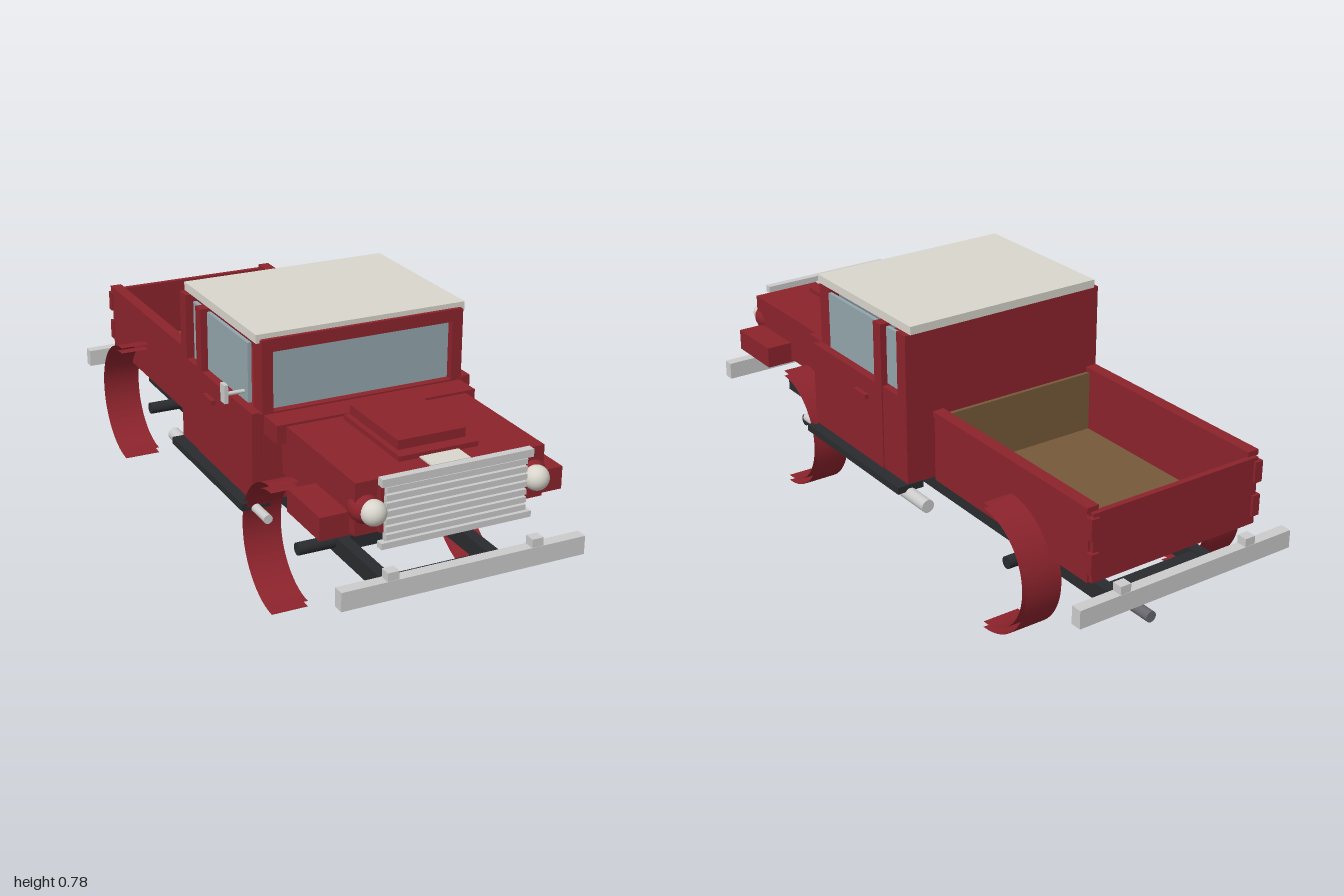
import * as THREE from 'three';

const mat = (color, side = THREE.FrontSide) =>
  new THREE.MeshStandardMaterial({ color, side });
const RED = mat(0x8c232c), RED_THIN = mat(0x8c232c, THREE.DoubleSide), CREAM = mat(0xd8d6cc);
const CHROME = mat(0xc2c2c6), BLACK = mat(0x292b2e), GLASS = mat(0x93a5ac);
const WOOD = mat(0x77593a), IRON = mat(0x68686e);

export function createModel() {
  const model = new THREE.Group();
  model.name = 'pickupTruck';
  const truck = new THREE.Group();
  truck.name = 'truck';
  truck.position.x = 0.011; // the single mirror shifts the body off centre
  model.add(truck);

  const add = (name, geo, material, x = 0, y = 0, z = 0) => {
    const m = new THREE.Mesh(geo, material);
    m.name = name;
    m.position.set(x, y, z);
    truck.add(m);
    return m;
  };
  // box given by its limits on each axis
  const box = (name, material, x0, x1, y0, y1, z0, z1) =>
    add(name, new THREE.BoxGeometry(x1 - x0, y1 - y0, z1 - z0), material,
      (x0 + x1) / 2, (y0 + y1) / 2, (z0 + z1) / 2);
  // box centred on x, and a mirrored pair of boxes
  const mid = (name, material, w, ...r) => box(name, material, -w, w, ...r);
  const pair = (name, material, x0, x1, ...r) => {
    box(name + 'Left', material, x0, x1, ...r);
    box(name + 'Right', material, -x1, -x0, ...r);
  };
  const rodZ = (name, material, r, x, y, z0, z1) => {
    const g = new THREE.CylinderGeometry(r, r, z1 - z0, 20).rotateX(Math.PI / 2);
    return add(name, g, material, x, y, (z0 + z1) / 2);
  };
  const rodX = (name, material, r, x0, x1, y, z) => {
    const g = new THREE.CylinderGeometry(r, r, x1 - x0, 20).rotateZ(Math.PI / 2);
    return add(name, g, material, (x0 + x1) / 2, y, z);
  };

  // ladder frame, axles and exhaust
  pair('frameRail', BLACK, 0.152, 0.188, 0.168, 0.22, -0.885, 0.895);
  for (const z of [-0.86, -0.58, -0.29, 0, 0.29, 0.58, 0.87])
    mid('crossMember', BLACK, 0.153, 0.174, 0.216, z - 0.022, z + 0.022);
  for (const z of [0.58, -0.57]) rodX('axle', BLACK, 0.019, -0.302, 0.302, 0.2, z);
  rodZ('exhaustPipe', IRON, 0.017, 0.131, 0.18, -1, 0.2);

  // bumpers with overriders
  for (const [z0, z1] of [[0.965, 1], [-1, -0.965]]) {
    mid('bumper', CHROME, 0.376, 0.229, 0.285, z0, z1);
    pair('overrider', CHROME, 0.205, 0.24, 0.235, 0.31, z0 + 0.001, z1 - 0.001);
  }

  // side pipes and running boards
  for (const s of [-1, 1]) {
    rodZ('sidePipe', CHROME, 0.021, s * 0.346, 0.246, -0.235, 0.37);
    rodZ('sidePipeTip', CHROME, 0.014, s * 0.346, 0.26, 0.3, 0.485);
  }
  pair('runningBoard', BLACK, 0.3, 0.39, 0.257, 0.279, -0.14, 0.4);

  // thin half-round fender shells behind each wheel centre
  for (const s of [-1, 1])
    for (const [x0, x1, y, z] of [[0.262, 0.376, 0.202, 0.57], [0.27, 0.39, 0.226, -0.583]])
      for (const r of [0.2, 0.182]) {
        const g = new THREE.CylinderGeometry(r, r, x1 - x0, 28, 1, true, Math.PI / 2, Math.PI);
        // turn the axis to x with the arc bulging toward the rear
        g.rotateZ(Math.PI / 2);
        add('fenderShell', g, RED_THIN, s * (x0 + x1) / 2, y, z);
      }

  // cab
  mid('cabBody', RED, 0.336, 0.277, 0.55, -0.137, 0.403);
  pair('door', RED, 0.33, 0.356, 0.28, 0.553, -0.005, 0.4);
  pair('rearQuarter', RED, 0.33, 0.353, 0.28, 0.553, -0.137, -0.007);
  mid('rearWall', RED, 0.336, 0.55, 0.757, -0.137, -0.11);
  pair('rearPillar', RED, 0.316, 0.353, 0.55, 0.757, -0.137, -0.09);
  pair('middlePillar', RED, 0.32, 0.356, 0.55, 0.75, -0.006, 0.034);
  pair('frontPillar', RED, 0.29, 0.324, 0.55, 0.765, 0.342, 0.402);
  mid('windshieldHeader', RED, 0.322, 0.73, 0.768, 0.342, 0.4);
  mid('windshield', GLASS, 0.291, 0.55, 0.732, 0.365, 0.378);
  pair('sideWindow', GLASS, 0.323, 0.335, 0.558, 0.74, -0.073, 0.328);
  mid('roof', CREAM, 0.336, 0.757, 0.783, -0.14, 0.388);
  pair('doorHandle', RED, 0.354, 0.37, 0.485, 0.499, 0.07, 0.137);

  // mirror, on the model's right only
  rodX('mirrorArm', CHROME, 0.006, -0.406, -0.35, 0.6, 0.335);
  box('mirrorPlate', CHROME, -0.418, -0.406, 0.577, 0.633, 0.322, 0.352);

  // hood, cowl and engine
  mid('hood', RED, 0.29, 0.385, 0.538, 0.46, 0.905);
  mid('hoodNose', RED, 0.225, 0.39, 0.53, 0.9, 0.925);
  mid('cowl', RED, 0.32, 0.488, 0.545, 0.4, 0.49);
  mid('hoodStripe', CREAM, 0.06, 0.53, 0.543, 0.48, 0.9);
  mid('scoopBase', RED, 0.122, 0.53, 0.553, 0.51, 0.835);
  mid('scoop', RED, 0.105, 0.55, 0.581, 0.515, 0.795);
  pair('fenderBox', RED, 0.27, 0.376, 0.375, 0.443, 0.675, 0.873);
  mid('engineBlock', IRON, 0.124, 0.3, 0.39, 0.5, 0.82);

  // grille with horizontal slats
  mid('grilleBack', CHROME, 0.215, 0.36, 0.54, 0.92, 0.93);
  mid('grilleTop', CHROME, 0.231, 0.529, 0.552, 0.92, 0.944);
  mid('grilleBottom', CHROME, 0.231, 0.35, 0.368, 0.92, 0.944);
  for (let i = 0; i < 7; i++) {
    const y = 0.381 + i * 0.0228;
    mid('grilleSlat', CHROME, 0.215, y - 0.008, y + 0.008, 0.925, 0.941);
  }

  // headlights in rounded bowls
  for (const s of [-1, 1]) {
    const bowl = add('headlightBowl', new THREE.SphereGeometry(0.043, 28, 18), RED,
      s * 0.257, 0.458, 0.89);
    bowl.scale.z = 1.2;
    add('headlight', new THREE.SphereGeometry(0.036, 28, 18), CREAM, s * 0.25, 0.459, 0.934);
  }

  // cargo bed
  mid('bedFloor', WOOD, 0.28, 0.305, 0.325, -0.922, -0.203);
  mid('bedFrontWall', WOOD, 0.268, 0.31, 0.515, -0.215, -0.203);
  pair('bedSide', RED, 0.268, 0.296, 0.305, 0.516, -0.925, -0.2);
  pair('bedRail', RED, 0.264, 0.302, 0.514, 0.531, -0.925, -0.2);
  mid('tailgate', RED, 0.29, 0.308, 0.516, -0.938, -0.92);
  pair('tailgatePost', RED, 0.275, 0.3, 0.335, 0.4, -0.946, -0.92);
  pair('tailgateLatch', RED, 0.275, 0.302, 0.44, 0.505, -0.946, -0.92);

  return model;
}
